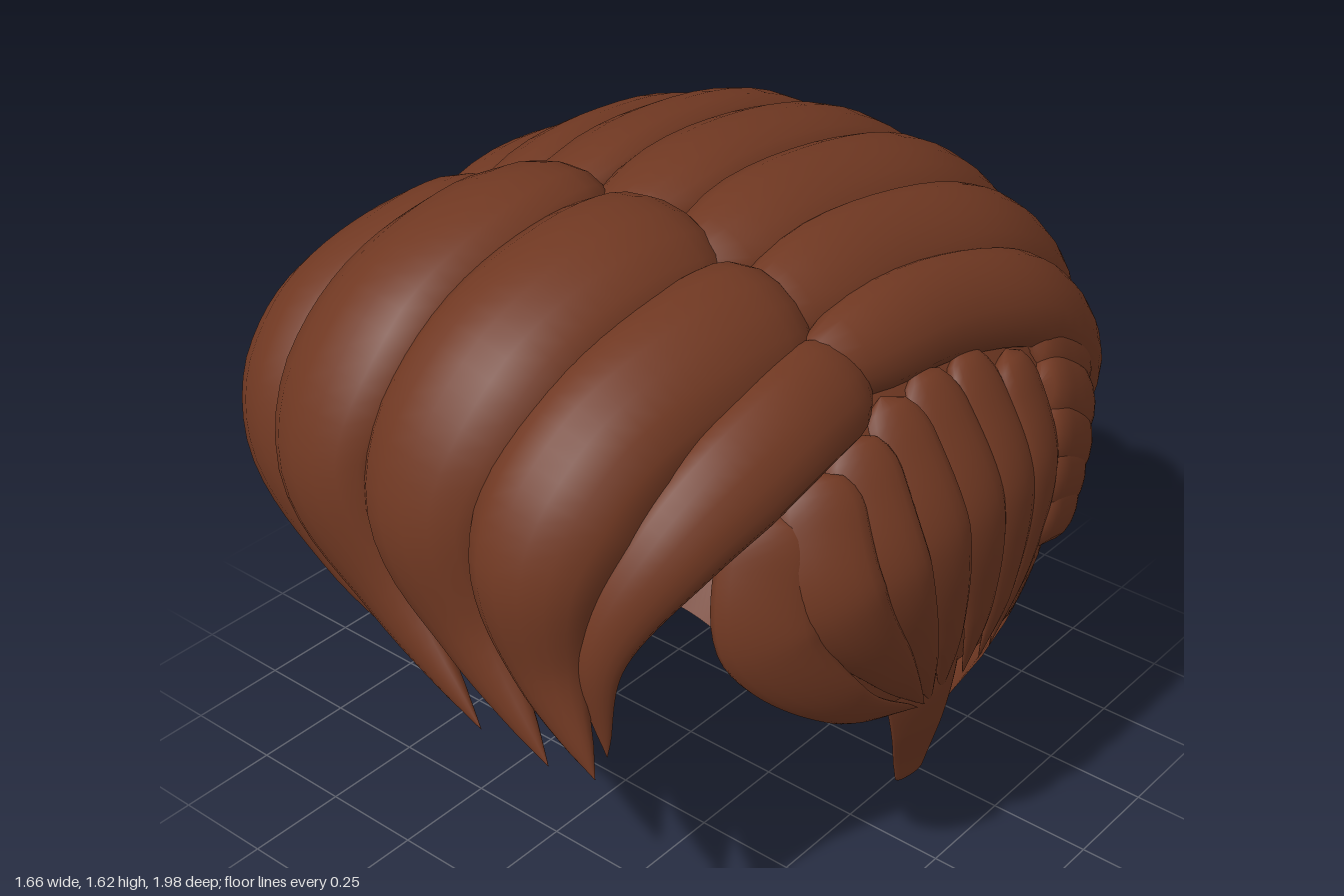
import * as THREE from 'three';

const V = (x, y, z) => new THREE.Vector3(x, y, z);
const hairMat = new THREE.MeshStandardMaterial({ color: 0x703822, side: THREE.DoubleSide });
const Z0 = -0.1, CENTRE = V(0, 0.9, Z0);
const BACK_EXP = 2.3, FRONT_EXP = 4; // squareness of the head outline

// Head outline at height y: half-width a, back depth b, front depth f
function head(y) {
  const k = (r, p, q) => Math.pow(Math.max(0, 1 - Math.pow(Math.abs(y - 0.9) / r, p)), q);
  const crown = k(0.62, 2, 0.5), up = y > 0.9;
  const side = up ? crown : k(1, 1.8, 0.4);
  return { a: 0.78 * side, b: 0.82 * (up ? crown : k(0.92, 2, 0.4)), f: 0.72 * side };
}

// Share of the head's half-width left at a given height and depth
function widthShare(h, z) {
  const e = z < Z0 ? BACK_EXP : FRONT_EXP, u = Math.abs(z - Z0) / (z < Z0 ? h.b : h.f);
  return Math.pow(Math.max(0, 1 - Math.pow(u, e)), 1 / e);
}

// Point on the left side of the head
function onSide(y, z) {
  const h = head(y);
  return V(h.a * Math.max(0.2, widthShare(h, z)), y, z);
}

// Push a point out from the middle of the head until it lies just outside the skull
function pushOut(p) {
  const dir = p.clone().sub(CENTRE).normalize();
  const inside = () => {
    const h = head(p.y);
    return Math.abs(p.x) < h.a * widthShare(h, p.z);
  };
  for (let i = 0; i < 60 && inside(); i++) p.addScaledVector(dir, 0.005);
  return p.addScaledVector(dir, 0.01);
}

function surface(pos, idx) {
  const g = new THREE.BufferGeometry();
  g.setAttribute('position', new THREE.Float32BufferAttribute(pos, 3));
  g.setIndex(idx);
  g.computeVertexNormals();
  return g;
}

// A lock of hair: oval section swept along a curve, round root, tapering tip
function lock(name, pts, width, thick, { fallAt = 0.45, power = 1.4, end = 0.03 } = {}) {
  const curve = new THREE.CatmullRomCurve3(pts), rows = 36, cols = 16, pos = [], idx = [];
  for (let i = 0; i <= rows; i++) {
    const t = i / rows, p = curve.getPoint(t), T = curve.getTangent(t);
    const N = p.clone().sub(CENTRE);
    N.addScaledVector(T, -N.dot(T)).normalize();
    const B = T.clone().cross(N);
    const rise = t < 0.12 ? Math.sqrt(1 - (1 - t / 0.12) ** 2) : 1;
    const fall = t > fallAt ? Math.pow((t - fallAt) / (1 - fallAt), power) : 0;
    const close = t > 0.94 ? Math.sqrt(Math.max(0, 1 - ((t - 0.94) / 0.06) ** 2)) : 1;
    const s = Math.max(0.004, rise * (1 - (1 - end) * fall) * close);
    for (let j = 0; j < cols; j++) {
      const q = (j / cols) * Math.PI * 2;
      const v = p.clone().addScaledVector(B, Math.cos(q) * width * s).addScaledVector(N, Math.sin(q) * thick * s);
      pos.push(v.x, v.y, v.z);
      if (i < rows) {
        const a = i * cols + j, b = i * cols + (j + 1) % cols;
        idx.push(a, a + cols, b, b, a + cols, b + cols);
      }
    }
  }
  const m = new THREE.Mesh(surface(pos, idx), hairMat);
  m.name = name;
  return m;
}

// Shell over the skull: open face, ear notches, tucked nape
function scalpCap() {
  // edge height, depth where the edge sits, sag at the middle of the back
  const rows = [[0.1, -0.25, 0.1], [0.2, -0.3, 0.07], [0.32, -0.36, 0.03], [0.43, -0.38, 0], [0.48, -0.36, 0],
    [0.5, -0.31, 0], [0.508, -0.24, 0], [0.514, -0.17, 0], [0.52, -0.1, 0], [0.526, -0.03, 0], [0.532, 0.04, 0],
    [0.54, 0.12, 0], [0.56, 0.22, 0], [0.59, 0.33, 0], [0.68, 0.46, 0], [0.85, 0.57, 0], [1.05, 0.55, 0], [1.15, 0.5, 0],
    [1.2, 9, 0], [1.28, 9, 0], [1.36, 9, 0], [1.43, 9, 0], [1.48, 9, 0], [1.51, 9, 0], [1.52, 9, 0]];
  const cols = 80, pos = [], idx = [];
  const bend = (v, e) => Math.sign(v) * Math.pow(Math.abs(v), 2 / e);
  rows.forEach(([y, edge, sag], i) => {
    const h = head(y), front = edge > Z0;
    const r = Math.min(1, Math.max(-1, (edge - Z0) / (front ? h.f : h.b)));
    const limit = Math.acos(-Math.sign(r) * Math.pow(Math.abs(r), (front ? FRONT_EXP : BACK_EXP) / 2));
    for (let k = 0; k <= cols; k++) {
      const s = (k / cols) * 2 - 1, phi = s * limit, c = Math.cos(phi), e = c > 0 ? BACK_EXP : FRONT_EXP;
      const yy = y - sag * (1 - s * s), hh = head(yy);
      pos.push(hh.a * bend(Math.sin(phi), e), yy, Z0 - (c > 0 ? hh.b : hh.f) * bend(c, e));
      if (i < rows.length - 1 && k < cols) {
        const a = i * (cols + 1) + k, u = a + cols + 1;
        idx.push(a, u, a + 1, a + 1, u, u + 1);
      }
    }
  });
  const m = new THREE.Mesh(surface(pos, idx), hairMat);
  m.name = 'scalpCap';
  return m;
}

// Long locks combed back over the crown to the nape
function backLocks() {
  const g = new THREE.Group();
  g.name = 'backLocks';
  const mid = [[0, 1.49, 0.3], [0, 1.51, -0.1], [0, 1.41, -0.5], [0, 1.2, -0.8], [0, 0.93, -0.92], [0, 0.63, -0.88], [0, 0.33, -0.74]];
  const side = [[0.53, 1.34, 0.3], [0.56, 1.34, -0.12], [0.57, 1.22, -0.46], [0.53, 0.98, -0.71], [0.44, 0.74, -0.81], [0.33, 0.54, -0.81], [0.2, 0.37, -0.76]];
  [[0, 0.135], [0.22, 0.135], [0.4, 0.13], [0.55, 0.115]].forEach(([r, width], i) => {
    for (const sgn of i ? [1, -1] : [1]) {
      const u = r / 0.55;
      const pts = mid.map((m, k) => pushOut(V(sgn * side[k][0] * u, THREE.MathUtils.lerp(m[1], side[k][1], u * u), THREE.MathUtils.lerp(m[2], side[k][2], u * u))));
      g.add(lock('backLock', pts, width, 0.08, { fallAt: 0.55, power: 1.2 }));
    }
  });
  return g;
}

// Swept fringe, root to tip, all leaning to the model's left
function fringe() {
  const g = new THREE.Group();
  g.name = 'fringe';
  const high = { y: [1.46, 1.495, 1.39, 1.13, 0.88, 0.66], z: [0.14, 0.43, 0.72, 0.88, 0.89, 0.92] };
  const midway = { y: [1.38, 1.39, 1.3, 1.1, 0.87, 0.67], z: [0.14, 0.42, 0.7, 0.86, 0.88, 0.9] };
  const low = { y: [1.35, 1.36, 1.27, 1.08, 0.86, 0.68], z: [0.14, 0.42, 0.66, 0.79, 0.82, 0.85] };
  const strands = [
    [[-0.45, -0.47, -0.49, -0.46, -0.3, -0.01], low, 0.18],
    [[-0.2, -0.2, -0.22, -0.23, -0.07, 0.2], high, 0.19],
    [[0.13, 0.12, 0.09, 0.06, 0.17, 0.39], high, 0.19],
    [[0.39, 0.38, 0.35, 0.33, 0.37, 0.5], midway, 0.17],
  ];
  for (const [xs, c, w] of strands) g.add(lock('fringeLock', xs.map((x, i) => V(x, c.y[i], c.z[i])), w, 0.12, { fallAt: 0.5, power: 1.3 }));
  // outermost locks at the temples
  g.add(lock('rightTempleLock', [V(-0.53, 1.31, 0.16), V(-0.56, 1.23, 0.42), V(-0.57, 1.04, 0.62), V(-0.51, 0.88, 0.72), V(-0.34, 0.75, 0.8)], 0.16, 0.085, { power: 1.3 }));
  g.add(lock('leftTempleLock', [V(0.56, 1.32, 0.14), V(0.58, 1.29, 0.42), V(0.54, 1.15, 0.7), V(0.47, 0.93, 0.84), V(0.48, 0.68, 0.84)], 0.12, 0.075, { fallAt: 0.35, power: 1.2 }));
  return g;
}

// Side hair, built on the left and mirrored: fan above the ear, fan behind it, sideburn
function sideHair(sgn) {
  const g = new THREE.Group();
  g.name = sgn > 0 ? 'leftSide' : 'rightSide';
  const add = (name, yz, w, th) => g.add(lock(name, yz.map(([y, z]) => {
    const p = pushOut(onSide(y, z));
    p.x *= sgn;
    return p;
  }), w, th, { fallAt: 0.35, power: 1.1 }));
  // height and depth of four points, then the half-width
  [[1.14, 0.46, 0.88, 0.52, 0.66, 0.36, 0.47, 0.06, 0.11], [1.2, 0.37, 0.95, 0.4, 0.7, 0.24, 0.46, 0.03, 0.1],
    [1.24, 0.26, 0.97, 0.27, 0.7, 0.15, 0.45, 0, 0.09], [1.27, 0.14, 1, 0.13, 0.7, 0.05, 0.45, -0.04, 0.085],
    [1.28, 0.01, 1, -0.01, 0.7, -0.07, 0.46, -0.12, 0.085], [1.27, -0.13, 1, -0.14, 0.7, -0.16, 0.47, -0.18, 0.085],
    [1.22, -0.27, 1, -0.26, 0.75, -0.24, 0.48, -0.22, 0.085],
  ].forEach((r) => add('earLock', [[r[0], r[1]], [r[2], r[3]], [r[4], r[5]], [r[6], r[7]]], r[8], 0.04));
  [[1.2, -0.38, 1.04, -0.62, 0.8, -0.77, 0.42, -0.76], [1.12, -0.34, 0.97, -0.56, 0.75, -0.71, 0.42, -0.75],
    [1.03, -0.3, 0.9, -0.51, 0.7, -0.66, 0.43, -0.74], [0.94, -0.27, 0.84, -0.46, 0.67, -0.62, 0.44, -0.74],
    [0.85, -0.25, 0.78, -0.42, 0.64, -0.58, 0.45, -0.73],
  ].forEach((r) => add('behindEarLock', [[r[0], r[1]], [r[2], r[3]], [r[4], r[5]], [r[6], r[7]]], 0.085, 0.045));
  const burn = [[0.69, 0.64, 0.04], [0.7, 0.5, 0.03], [0.685, 0.37, 0.01], [0.66, 0.26, -0.01], [0.645, 0.18, -0.02]];
  g.add(lock('sideburn', burn.map(([x, y, z]) => V(sgn * x, y, z)), 0.13, 0.018, { fallAt: 0.1, power: 0.7, end: 0.3 }));
  return g;
}

export function createModel() {
  const model = new THREE.Group();
  model.name = 'hair';
  model.add(scalpCap(), backLocks(), fringe(), sideHair(1), sideHair(-1));
  return model;
}
